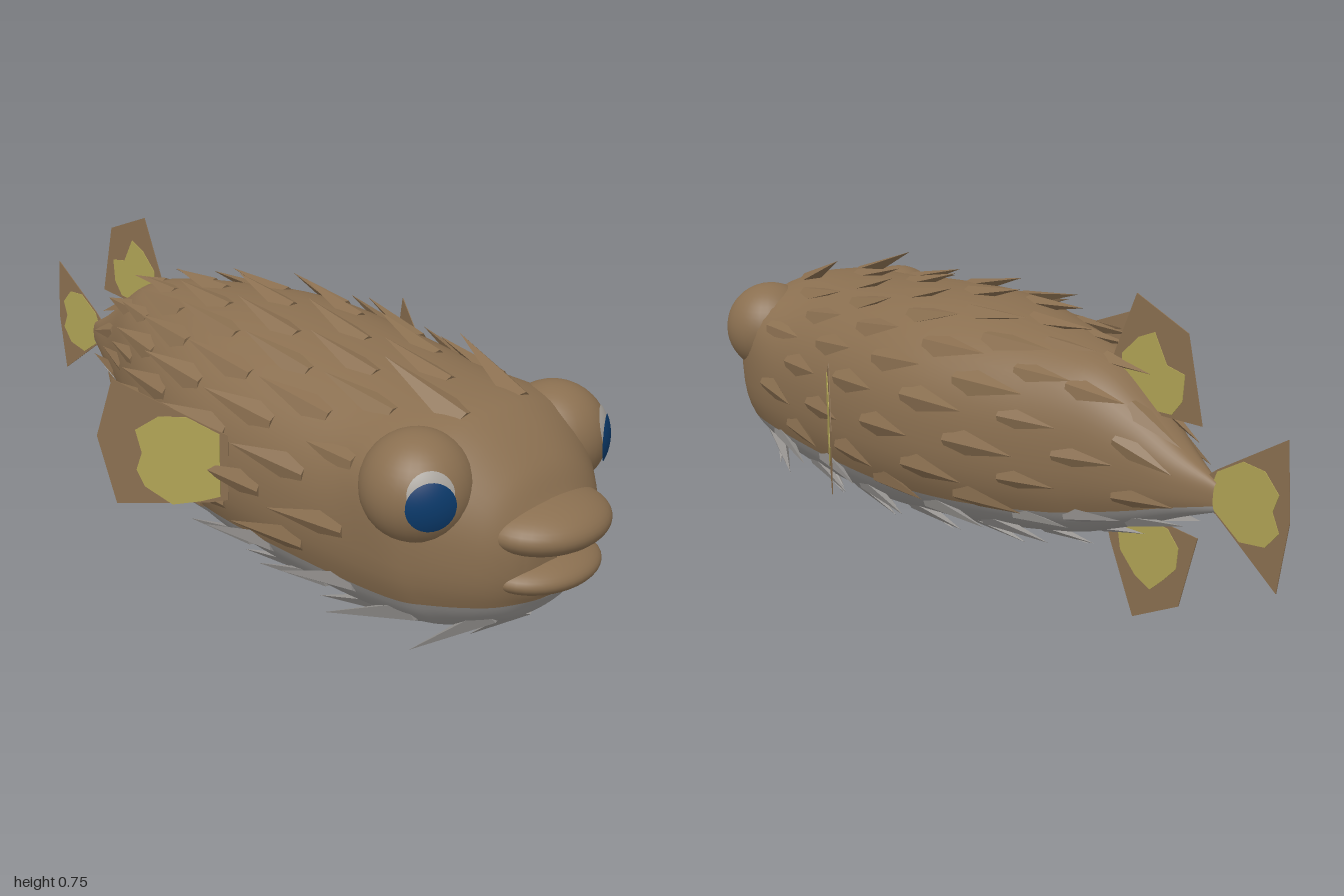
import * as THREE from 'three';
import { mergeGeometries } from 'three/addons/utils/BufferGeometryUtils.js';

const mat = (name, color) => Object.assign(new THREE.MeshStandardMaterial({ color }), { name });

// Body stations from nose to tail: z, top, bottom, half width, colour line
const STATIONS = [
  [0.93, 0.36, 0.31, 0.02, 0.24], [0.922, 0.42, 0.25, 0.09, 0.24], [0.9, 0.46, 0.215, 0.145, 0.24],
  [0.86, 0.52, 0.17, 0.195, 0.237], [0.78, 0.585, 0.13, 0.262, 0.233], [0.7, 0.615, 0.105, 0.3, 0.23],
  [0.5, 0.63, 0.08, 0.315, 0.225], [0.2, 0.655, 0.08, 0.328, 0.22], [0, 0.66, 0.1, 0.315, 0.215],
  [-0.2, 0.64, 0.125, 0.262, 0.22], [-0.4, 0.61, 0.165, 0.18, 0.24], [-0.5, 0.58, 0.2, 0.135, 0.26],
  [-0.6, 0.515, 0.24, 0.092, 0.285], [-0.7, 0.445, 0.285, 0.055, 0.315], [-0.8, 0.39, 0.325, 0.012, 0.34],
];
const curve = (i, j) => new THREE.CatmullRomCurve3(
  STATIONS.map(s => new THREE.Vector3(s[0], s[i], s[j])), false, 'catmullrom');
const heights = curve(1, 2), widths = curve(3, 4);
const POWER = 2.3;

function section(t) {
  const h = heights.getPoint(t), w = widths.getPoint(t);
  return { z: h.x, cy: (h.y + h.z) / 2, half: (h.y - h.z) / 2, w: w.y, split: w.z };
}

function bodyPoint(t, a) {
  const s = section(t);
  const bend = v => Math.sign(v) * Math.abs(v) ** (2 / POWER);
  const p = new THREE.Vector3(s.w * bend(Math.cos(a)), s.cy + s.half * bend(Math.sin(a)), s.z);
  // Soft swelling that carries the eye sockets into the head
  const d2 = (Math.abs(p.x) - 0.25) ** 2 + (p.y - 0.49) ** 2 + (p.z - 0.67) ** 2;
  const swell = 0.028 * Math.exp(-d2 / 0.009);
  return p.add(new THREE.Vector3(Math.sign(p.x) * 0.85 * swell, 0.5 * swell, 0));
}

// Angle at which the section crosses the line between back and belly
function splitAngle(t) {
  const s = section(t), k = THREE.MathUtils.clamp((s.split - s.cy) / s.half, -1, 1);
  return Math.asin(Math.sign(k) * Math.abs(k) ** (POWER / 2));
}

function bodyShell(isBack) {
  const rows = 80, cols = 32, pos = [], index = [];
  for (let i = 0; i <= rows; i++) {
    const t = i / rows, a0 = splitAngle(t);
    const from = isBack ? a0 : Math.PI - a0, to = isBack ? Math.PI - a0 : 2 * Math.PI + a0;
    for (let j = 0; j <= cols; j++) {
      pos.push(...bodyPoint(t, from + (to - from) * j / cols).toArray());
      if (i === rows || j === cols) continue;
      const p = i * (cols + 1) + j, q = p + cols + 1;
      index.push(p, q, p + 1, q, q + 1, p + 1);
    }
  }
  const g = new THREE.BufferGeometry();
  g.setAttribute('position', new THREE.Float32BufferAttribute(pos, 3));
  g.setIndex(index);
  g.computeVertexNormals();
  return g;
}

// Faceted spike lying back along the skin
function spikeAt(t, a, size) {
  const e = 0.004, tilt = 0.2, p = bodyPoint(t, a);
  const back = bodyPoint(t + e, a).sub(bodyPoint(t - e, a)).normalize();
  const around = bodyPoint(t, a + 0.03).sub(bodyPoint(t, a - 0.03));
  const n = around.cross(back).normalize();
  if (n.x * p.x + n.y * (p.y - section(t).cy) < 0) n.negate();
  const dir = back.multiplyScalar(Math.cos(tilt)).addScaledVector(n, Math.sin(tilt)).normalize();
  const side = dir.clone().cross(n).normalize();
  const m = new THREE.Matrix4().makeBasis(side, dir, side.clone().cross(dir));
  m.setPosition(p.addScaledVector(n, -0.014 * size));
  const g = new THREE.ConeGeometry(0.042, 0.21, 4).translate(0, 0.105, 0).scale(size, size, size * 0.5);
  const flat = g.applyMatrix4(m).toNonIndexed();
  flat.computeVertexNormals();
  return flat;
}

function tAtZ(z) {
  let lo = 0, hi = 1;
  for (let i = 0; i < 30; i++) {
    const mid = (lo + hi) / 2;
    if (section(mid).z > z) lo = mid; else hi = mid;
  }
  return lo;
}

export function createModel() {
  const model = new THREE.Group();
  const brown = mat('brown skin', 0x8a6f50), grey = mat('grey belly', 0x9a9794);
  const yellow = mat('yellow fin patch', 0xb0a355), blue = mat('blue eye', 0x0b3a6b);
  const pale = mat('pale eye rim', 0xa8a39c);
  const add = (name, geometry, material, parent = model) => {
    const mesh = new THREE.Mesh(geometry, material);
    mesh.name = name;
    parent.add(mesh);
    return mesh;
  };

  add('back', bodyShell(true), brown);
  add('belly', bodyShell(false), grey);

  // Staggered rings of spikes
  const backSpikes = [], bellySpikes = [];
  for (let k = -1; k < 11; k++) {
    const z = 0.72 - 0.13 * k, t = tAtZ(z), s = section(t);
    const count = k > 8 ? 8 : 12, size = k > 7 ? 0.75 : k === 0 ? 1.1 : 1;
    for (let i = 0; i < count; i++) {
      const a = Math.PI / 2 + (i + (k % 2 ? 0 : 0.5)) * 2 * Math.PI / count;
      const p = bodyPoint(t, a), onBelly = p.y < s.split;
      const onFace = z > 0.65 && !onBelly && (k < 0 || Math.abs(p.x) > 0.15);
      if (!onFace) (onBelly ? bellySpikes : backSpikes).push(spikeAt(t, a, size));
    }
  }
  add('backSpikes', mergeGeometries(backSpikes), brown);
  add('bellySpikes', mergeGeometries(bellySpikes), grey);

  // Rounded muzzle whose two halves meet at the mouth
  const lip = (name, radii, y, z) =>
    add(name, new THREE.SphereGeometry(1, 40, 24).scale(...radii).translate(0, y, z), brown);
  lip('upperLip', [0.158, 0.06, 0.13], 0.4, 0.87);
  lip('lowerLip', [0.15, 0.045, 0.112], 0.297, 0.87);

  // Bulging eyes: brown socket, pale rim and blue cap
  for (const side of [1, -1]) {
    const eye = new THREE.Group();
    eye.name = side > 0 ? 'leftEye' : 'rightEye';
    eye.position.set(side * 0.212, 0.477, 0.71);
    model.add(eye);
    add('socket', new THREE.SphereGeometry(0.122, 32, 24), brown, eye);
    const cap = (name, r, angle, up, material) => {
      const g = new THREE.SphereGeometry(r, 28, 8, 0, Math.PI * 2, 0, angle);
      const dir = new THREE.Vector3(side * 0.53, up, 0.85).normalize();
      add(name, g, material, eye).quaternion.setFromUnitVectors(new THREE.Vector3(0, 1, 0), dir);
    };
    cap('eyeRim', 0.1245, 0.41, 0.26, pale);
    cap('eyeball', 0.127, 0.43, 0.04, blue);
  }

  // Fins: outline in (outward, up) coordinates with a thin patch on both sides
  const plate = (pts, depth) => new THREE.ExtrudeGeometry(
    new THREE.Shape(pts.map(p => new THREE.Vector2(...p))), { depth, bevelEnabled: false }).translate(0, 0, -depth / 2);
  const fin = (name, outline, patch, origin, dir) => {
    const g = new THREE.Group();
    g.name = name;
    const d = new THREE.Vector3(...dir).normalize(), up = new THREE.Vector3(0, 1, 0);
    g.quaternion.setFromRotationMatrix(new THREE.Matrix4().makeBasis(d, up, d.clone().cross(up)));
    g.position.set(...origin);
    add('finBlade', plate(outline, 0.002), brown, g);
    add('finPatch', plate(patch, 0.005), yellow, g);
    model.add(g);
  };
  const rear = [0, 0, -1];
  fin('tailFin',
    [[0.76, 0.33], [0.8, 0.32], [0.975, 0.2], [1, 0.36], [0.985, 0.53], [0.8, 0.42], [0.76, 0.39]],
    [[0.77, 0.34], [0.8, 0.325], [0.87, 0.28], [0.94, 0.29], [0.975, 0.33], [0.955, 0.37], [0.97, 0.41], [0.93, 0.45], [0.87, 0.455], [0.8, 0.415]],
    [0, 0, 0], rear);
  fin('dorsalFin',
    [[0.46, 0.57], [0.475, 0.61], [0.54, 0.75], [0.7, 0.69], [0.75, 0.5], [0.63, 0.495], [0.55, 0.5]],
    [[0.5, 0.57], [0.5, 0.61], [0.55, 0.655], [0.6, 0.675], [0.64, 0.61], [0.695, 0.6], [0.69, 0.54], [0.66, 0.505], [0.57, 0.5]],
    [0, 0, 0], rear);
  fin('analFin',
    [[0.46, 0.2], [0.475, 0.16], [0.555, 0], [0.7, 0.075], [0.75, 0.25], [0.63, 0.255], [0.55, 0.26]],
    [[0.5, 0.2], [0.51, 0.15], [0.56, 0.105], [0.61, 0.085], [0.65, 0.12], [0.69, 0.16], [0.695, 0.21], [0.66, 0.245], [0.57, 0.25]],
    [0, 0, 0], rear);
  for (const side of [1, -1]) {
    fin(side > 0 ? 'leftPectoralFin' : 'rightPectoralFin',
      [[-0.02, 0.3], [0.03, 0.285], [0.265, 0.243], [0.31, 0.41], [0.265, 0.558], [0.03, 0.475], [-0.02, 0.46]],
      [[0, 0.305], [0.05, 0.285], [0.12, 0.265], [0.19, 0.3], [0.21, 0.34], [0.195, 0.385], [0.21, 0.44], [0.15, 0.482], [0.08, 0.49], [0, 0.46]],
      [side * 0.335, 0, 0.21], [side * 0.15, 0, -0.265]);
  }
  return model;
}
